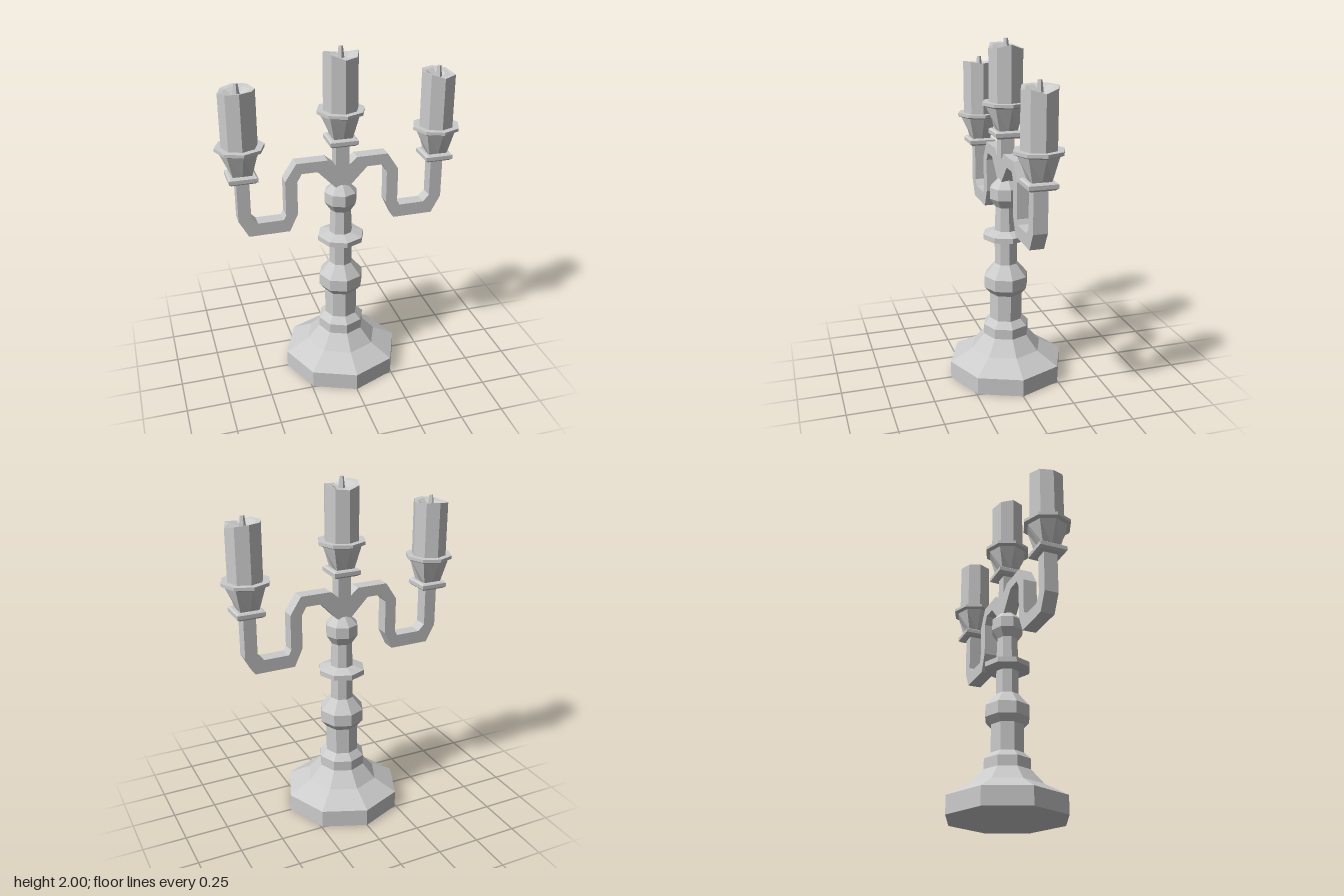
import * as THREE from 'three';

const material = new THREE.MeshStandardMaterial({ color: 0xcccccc, flatShading: true });

function part(name, geometry) {
  const flat = geometry.index ? geometry.toNonIndexed() : geometry;
  flat.computeVertexNormals();
  const mesh = new THREE.Mesh(flat, material);
  mesh.name = name;
  return mesh;
}

// Faceted turning; adjust(segment, row, vertex) may reshape single vertices.
function turned(name, profile, sides = 8, start = 0, adjust = null) {
  const points = profile.map(([r, y]) => new THREE.Vector2(r, y));
  const geometry = new THREE.LatheGeometry(points, sides, start);
  if (adjust) {
    const pos = geometry.attributes.position;
    const v = new THREE.Vector3();
    for (let i = 0; i < pos.count; i++) {
      v.fromBufferAttribute(pos, i);
      adjust(Math.floor(i / points.length) % sides, i % points.length, v);
      pos.setXYZ(i, v.x, v.y, v.z);
    }
  }
  return part(name, geometry);
}

// Square plate, octagonal cup, candle with a melted rim, and wick.
function candleHolder(name, x, y, melt) {
  const holder = new THREE.Group();
  holder.name = name;
  holder.position.set(x, y, 0);

  const plate = [[0, 0], [0.065, 0], [0.08, 0.012], [0.08, 0.034], [0.07, 0.042], [0, 0.042]]
    .map(([r, h]) => [r * Math.SQRT2, h]);
  holder.add(turned('plate', plate, 4, Math.PI / 4));

  // The cup starts square at its foot and becomes octagonal at the top.
  const cup = [[0, 0.04], [0.053, 0.04], [0.115, 0.172], [0.137, 0.182], [0.137, 0.2], [0.098, 0.2], [0, 0.19]];
  holder.add(turned('cup', cup, 8, 0, (side, row, v) => {
    if (row === 1 && side % 2) {
      v.x *= Math.SQRT2;
      v.z *= Math.SQRT2;
    }
  }));

  const candle = [[0, 0.17], [0.1, 0.17], [0.1, 0.517], [0.075, 0.512], [0.035, 0.485], [0, 0.48]];
  holder.add(turned('candle', candle, 8, 0, (side, row, v) => {
    if (row === 2 || row === 3) v.y -= melt[side];
  }));

  holder.add(turned('wick', [[0.021, 0.475], [0.012, 0.545], [0, 0.545]], 4));
  return holder;
}

export function createModel() {
  const model = new THREE.Group();
  model.name = 'candelabra';

  // Base and turned stem
  model.add(turned('baseAndStem', [
    [0, 0], [0.345, 0], [0.345, 0.103], [0.213, 0.175], [0.137, 0.262], [0.137, 0.322],
    [0.098, 0.36], [0.098, 0.52], [0.132, 0.56], [0.132, 0.63], [0.068, 0.705],
    [0.068, 0.845], [0.137, 0.86], [0.137, 0.89], [0.068, 0.91], [0.062, 1.05],
    [0.095, 1.1], [0.095, 1.165], [0.045, 1.215], [0, 1.215],
  ]));

  // Both arms and the centre post share one mirrored outline
  const half = [
    [0.042, 1.205], [0.145, 1.312], [0.235, 1.312], [0.262, 1.265], [0.262, 1.07],
    [0.31, 0.967], [0.545, 0.967], [0.6, 1.068], [0.6, 1.31], [0.528, 1.31],
    [0.528, 1.08], [0.492, 1.043], [0.345, 1.043], [0.33, 1.07], [0.33, 1.275],
    [0.265, 1.375], [0.085, 1.375], [0.038, 1.335], [0.038, 1.46],
  ];
  const outline = half.concat(half.map(([x, y]) => [-x, y]).reverse());
  const shape = new THREE.Shape(outline.map(([x, y]) => new THREE.Vector2(x, y)));
  const arms = new THREE.ExtrudeGeometry(shape, { depth: 0.08, bevelEnabled: false });
  arms.translate(0, 0, -0.04);
  model.add(part('arms', arms));

  // Candles; melt depths run from the front round towards +x
  model.add(candleHolder('centreCandle', 0, 1.455, [0.025, 0.02, 0, 0.025, 0.03, 0.015, 0, 0]));
  model.add(candleHolder('leftCandle', 0.564, 1.302, [0.02, 0.01, 0.03, 0.01, 0, 0, 0, 0]));
  model.add(candleHolder('rightCandle', -0.564, 1.302, [0, 0, 0.008, 0, 0, 0.01, 0.018, 0.008]));

  return model;
}
